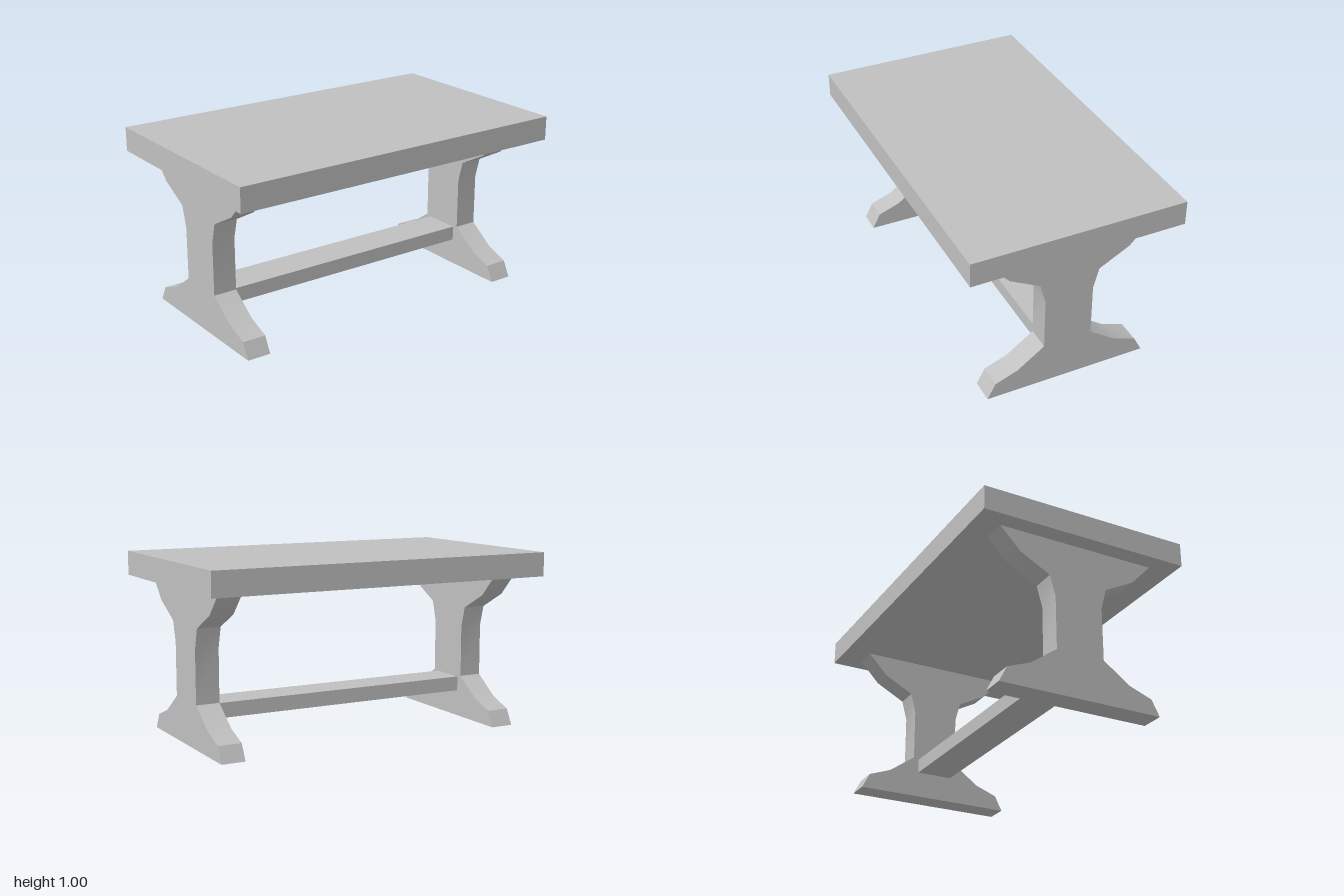
import * as THREE from 'three';
import { toCreasedNormals } from 'three/addons/utils/BufferGeometryUtils.js';

export function createModel() {
  const model = new THREE.Group();
  model.name = 'trestleTable';
  const grey = new THREE.MeshStandardMaterial({ color: 0xc0c0c0 });
  grey.name = 'plain grey';

  const add = (name, geometry, x, y, z) => {
    const mesh = new THREE.Mesh(geometry, grey);
    mesh.name = name;
    mesh.position.set(x, y, z);
    model.add(mesh);
  };

  // Thick rectangular top
  add('tableTop', new THREE.BoxGeometry(2, 0.135, 1.19), 0, 0.9325, 0);

  // Trestle outline: half-width and height, foot to top, mirrored about the centre
  const half = [
    [0.462, 0], [0.417, 0.087], [0.288, 0.135], [0.137, 0.243],
    [0.137, 0.538], [0.168, 0.654], [0.338, 0.744], [0.453, 0.865],
  ];
  const outline = [...half, ...half.map(([w, y]) => [-w, y]).reverse()];
  const shape = new THREE.Shape(outline.map(([w, y]) => new THREE.Vector2(w, y)));
  const thickness = 0.133;
  const extruded = new THREE.ExtrudeGeometry(shape, { depth: thickness, bevelEnabled: false });
  extruded.translate(0, 0, -thickness / 2).rotateY(Math.PI / 2);

  // Gentle bends are smooth, strong bends stay sharp
  const trestle = toCreasedNormals(extruded, Math.PI / 6);
  for (const [name, side] of [['leftTrestle', 1], ['rightTrestle', -1]]) {
    add(name, trestle, side * 0.8365, 0, 0);
  }

  // Low beam joining the trestles
  add('stretcher', new THREE.BoxGeometry(1.54, 0.083, 0.21), 0, 0.1925, 0);

  return model;
}
